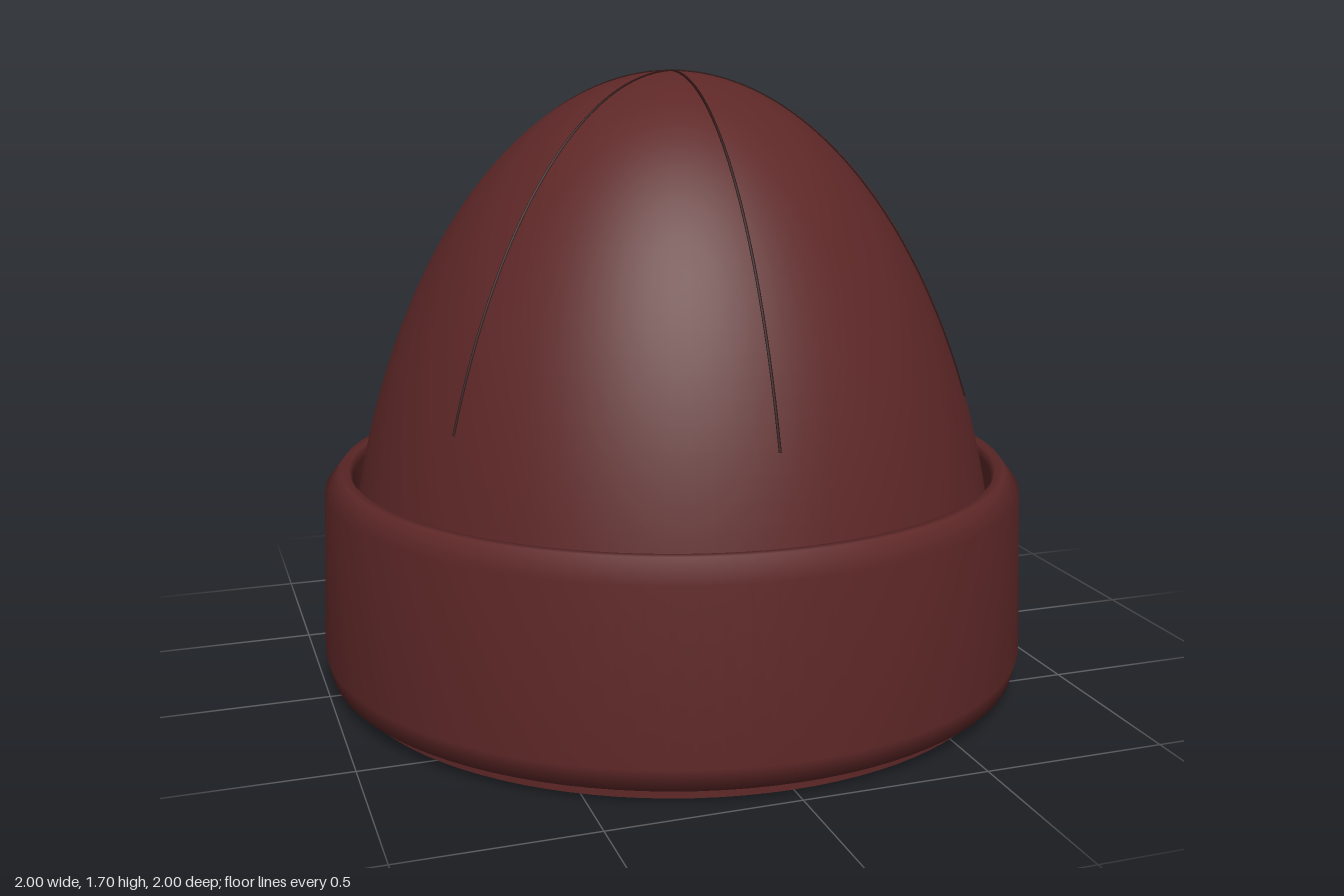
import * as THREE from 'three';

const RADIUS = 0.94, HEIGHT = 1.7;
// Half-ellipse outline of the crown: t = 0 at the hem, 1 at the tip
const crownPoint = (t) => new THREE.Vector2(
  Math.max(0, RADIUS * Math.cos(t * Math.PI / 2)), HEIGHT * Math.sin(t * Math.PI / 2));

export function createModel() {
  const group = new THREE.Group();
  const wool = new THREE.MeshStandardMaterial({ color: 0x5e2727, side: THREE.DoubleSide });
  const thread = new THREE.MeshStandardMaterial({ color: 0x2c1212 });
  const add = (name, geometry, material, parent = group) => {
    const mesh = new THREE.Mesh(geometry, material);
    mesh.name = name;
    parent.add(mesh);
    return mesh;
  };

  // Crown: open-bottomed dome
  const outline = Array.from({ length: 41 }, (_, i) => crownPoint(i / 40));
  add('crown', new THREE.LatheGeometry(outline, 96), wool);

  // Folded cuff: closed band with bevelled edges
  const band = [
    [0.905, 0.035], [0.985, 0.04], [1.0, 0.1], [0.983, 0.555],
    [0.94, 0.61], [0.915, 0.61], [0.905, 0.585], [0.905, 0.035],
  ].map(([r, y]) => new THREE.Vector2(r, y));
  add('cuff', new THREE.LatheGeometry(band, 96), wool);

  // Six stitched seams running from the tip down the crown
  const seams = new THREE.Group();
  seams.name = 'seams';
  group.add(seams);
  const start = Math.asin(0.82 / HEIGHT) / (Math.PI / 2);
  const path = new THREE.CatmullRomCurve3(Array.from({ length: 17 }, (_, i) => {
    const p = crownPoint(start + (1 - start) * i / 16);
    return new THREE.Vector3(0, p.y, p.x);
  }));
  const seamGeometry = new THREE.TubeGeometry(path, 40, 0.004, 6);
  for (let i = 0; i < 6; i++) {
    add('seam', seamGeometry, thread, seams).rotation.y = i * Math.PI / 3;
  }
  return group;
}
